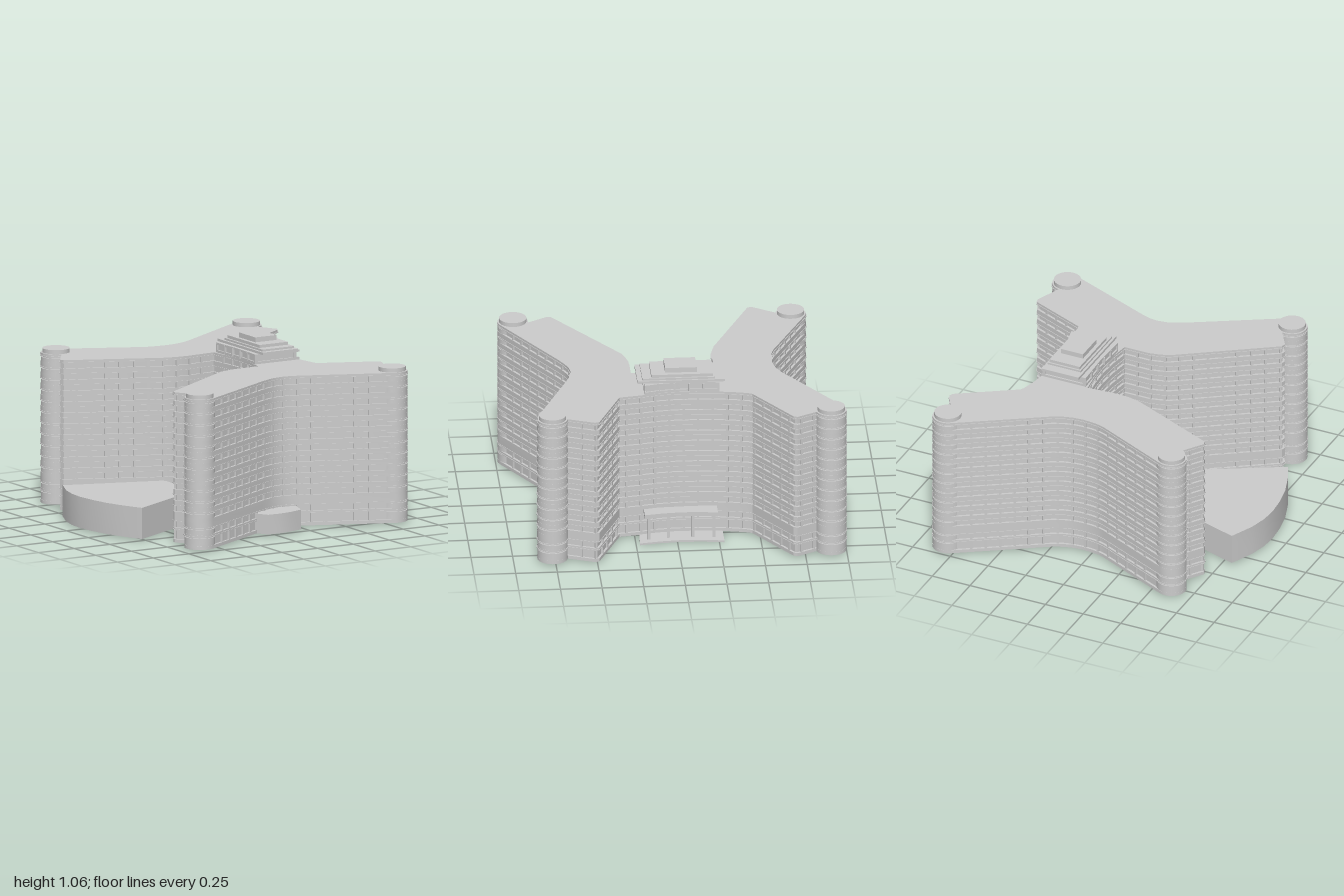
import * as THREE from 'three';
import { mergeGeometries, toCreasedNormals } from 'three/addons/utils/BufferGeometryUtils.js';

const material = new THREE.MeshStandardMaterial({ color: 0xcccccc });

// Stair towers at the four wing tips: x, z, start and end angle of the exposed arc
const R = 0.092;
const towers = [[-0.607, -0.77, 100, 296], [0.81, -0.908, 238, 435], [0.815, 0.765, -80, 112], [-0.612, 0.897, 60, 285]];
const arc = ([x, z, a, b]) => Array.from({ length: 17 }, (_, i) => {
  const t = THREE.MathUtils.degToRad(a + (b - a) * i / 16);
  return [x + R * Math.cos(t), z + R * Math.sin(t)];
});

// Floor plan as [x, z], running along the back, left side, front and right side
const plan = [
  ...arc(towers[0]),
  [-0.09, -0.63], [-0.05, -0.617], [0, -0.609], [0.06, -0.605], [0.12, -0.61], [0.18, -0.625], [0.24, -0.652],
  ...arc(towers[1]),
  [0.9, -0.7], [0.888, -0.675], [0.545, -0.455], [0.532, -0.43], [0.51, -0.34], [0.495, -0.24],
  [0.487, -0.12], [0.486, 0], [0.497, 0.11], [0.52, 0.22], [0.54, 0.343], [0.885, 0.488], [0.895, 0.515],
  ...arc(towers[2]),
  [0.25, 0.63], [0.2, 0.613], [0.14, 0.606], [0.08, 0.615], [0.03, 0.635], [-0.03, 0.665],
  ...arc(towers[3]),
  [-0.662, 0.69], [-0.655, 0.663], [-0.09, 0.28], [-0.03, 0.262], [0.03, 0.25], [0.19, 0.25],
  [0.208, 0.12], [0.214, 0], [0.208, -0.12], [0.19, -0.265], [0, -0.25], [-0.08, -0.255], [-0.16, -0.275],
  [-0.708, -0.518], [-0.715, -0.545],
];

// Mitred outward offset of a closed plan
function offset(pts, d) {
  const n = pts.length;
  const normal = i => {
    const [a, b] = [pts[(i + n) % n], pts[(i + 1) % n]];
    const l = Math.hypot(b[0] - a[0], b[1] - a[1]);
    return [(b[1] - a[1]) / l, (a[0] - b[0]) / l];
  };
  return pts.map(([x, z], i) => {
    const p = normal(i - 1), q = normal(i);
    const k = d / Math.max(0.5, 1 + p[0] * q[0] + p[1] * q[1]);
    return [x + k * (p[0] + q[0]), z + k * (p[1] + q[1])];
  });
}

// Upright prism over a plan between two heights
function prism(pts, y0, y1) {
  const shape = new THREE.Shape(pts.map(([x, z]) => new THREE.Vector2(x, -z)));
  const g = new THREE.ExtrudeGeometry(shape, { depth: y1 - y0, bevelEnabled: false });
  return g.rotateX(-Math.PI / 2).translate(0, y0, 0);
}

function box(x0, x1, y0, y1, z0, z1) {
  return new THREE.BoxGeometry(x1 - x0, y1 - y0, z1 - z0)
    .translate((x0 + x1) / 2, (y0 + y1) / 2, (z0 + z1) / 2);
}

function cylinder(r, x, z, y0, y1) {
  return new THREE.CylinderGeometry(r, r, y1 - y0, 32).translate(x, (y0 + y1) / 2, z);
}

export function createModel() {
  const model = new THREE.Group();
  const add = (name, ...parts) => {
    const flat = parts.map(g => (g.index ? g.toNonIndexed() : g));
    const mesh = new THREE.Mesh(toCreasedNormals(mergeGeometries(flat), 0.5), material);
    mesh.name = name;
    model.add(mesh);
  };

  // Recessed glazing body
  add('windowWalls', prism(offset(plan, -0.014), 0.01, 0.925));

  // Window rows as [bottom, top]; the bands fill the space between them
  const rows = [[0.03, 0.085], [0.1, 0.138]];
  for (let i = 10; i >= 0; i--) rows.push([0.873 - i * 0.0675, 0.907 - i * 0.0675]);
  const edges = [0.01, ...rows.flat(), 0.925];
  const bands = [], ledges = [];
  const ledgePlan = offset(plan, 0.004);
  for (let i = 0; i < edges.length; i += 2) {
    bands.push(prism(plan, edges[i], edges[i + 1]));
    if (i) ledges.push(prism(ledgePlan, edges[i], edges[i] + 0.005));
  }
  add('floorBands', ...bands);
  add('floorLedges', ...ledges);

  // Window piers spaced along the walls, leaving out the towers
  const piers = [];
  const curve = new THREE.CurvePath();
  const line = offset(plan, -0.01).map(([x, z]) => new THREE.Vector3(x, 0, z));
  line.forEach((p, i) => curve.add(new THREE.LineCurve3(p, line[(i + 1) % line.length])));
  const count = Math.round(curve.getLength() / 0.088);
  for (let i = 0; i < count; i++) {
    const p = curve.getPointAt(i / count), t = curve.getTangentAt(i / count);
    if (towers.some(([x, z]) => Math.hypot(p.x - x, p.z - z) < 0.11)) continue;
    piers.push(new THREE.BoxGeometry(0.014, 0.9, 0.014)
      .rotateY(-Math.atan2(t.z, t.x)).translate(p.x, 0.465, p.z));
  }
  add('windowPiers', ...piers);

  // Round stair towers with a ring at each floor
  for (const [x, z] of towers) {
    const rings = rows.map(([y0, y1]) => cylinder(R - 0.001, x, z, y0 - 0.01, y1 - 0.008));
    add('stairTower', cylinder(0.082, x, z, 0.01, 0.95), ...rings);
  }

  // Stepped penthouse on the waist of the roof
  const room = [[0.205, -0.26], [0.495, -0.26], [0.482, -0.12], [0.482, 0], [0.495, 0.11], [0.515, 0.19], [0.205, 0.19], [0.214, -0.03]];
  add('penthouseRoom', prism(offset(room, -0.01), 0.92, 0.985), prism(room, 0.92, 0.94), prism(room, 0.972, 0.985));
  const posts = [];
  for (let i = 0; i <= 5; i++) {
    const z = -0.255 + i * 0.088;
    posts.push(box(0.204, 0.225, 0.93, 0.98, z - 0.005, z + 0.005), box(0.475, 0.492, 0.93, 0.98, z - 0.005, z + 0.005));
  }
  add('penthousePosts', ...posts);
  add('penthouseRoofSteps',
    box(0.235, 0.482, 0.985, 1.0, -0.295, 0.23),
    box(0.25, 0.472, 1.0, 1.012, -0.235, 0.2),
    box(0.262, 0.462, 1.012, 1.03, -0.225, 0.145),
    box(0.285, 0.432, 1.03, 1.06, -0.13, 0.06));

  // Fan-shaped hall on the right side
  add('fanHall', prism([[-0.81, -0.357], [-0.225, -0.172], [-0.213, -0.15], [-0.213, 0.17], [-0.228, 0.197],
    [-0.775, 0.5], [-0.83, 0.38], [-0.875, 0.25], [-0.9, 0.12], [-0.91, 0], [-0.902, -0.1], [-0.875, -0.21]], 0.01, 0.2));

  // Low annex in the bend of the front wing
  add('frontAnnex', prism([[-0.1, 0.69], [-0.055, 0.77], [0.03, 0.772], [0.11, 0.76], [0.2, 0.73],
    [0.232, 0.615], [0.14, 0.59], [0, 0.63]], 0.01, 0.13));

  // Entrance terrace, canopy and posts on the left side
  add('entranceTerrace', prism([[0.46, -0.28], [0.643, -0.28], [0.625, -0.16], [0.618, -0.03], [0.628, 0.1],
    [0.65, 0.228], [0.5, 0.22]], 0, 0.012));
  const front = [[0.595, -0.245], [0.58, -0.14], [0.576, -0.03], [0.584, 0.08], [0.603, 0.195]];
  add('entranceCanopy', prism([[0.48, -0.245], ...front, [0.5, 0.195]], 0.15, 0.175));
  add('canopyPosts', ...[[0.58, -0.222], [0.567, -0.095], [0.57, 0.05], [0.586, 0.168]].map(([x, z]) =>
    box(x - 0.009, x + 0.009, 0.01, 0.152, z - 0.009, z + 0.009)));

  return model;
}
